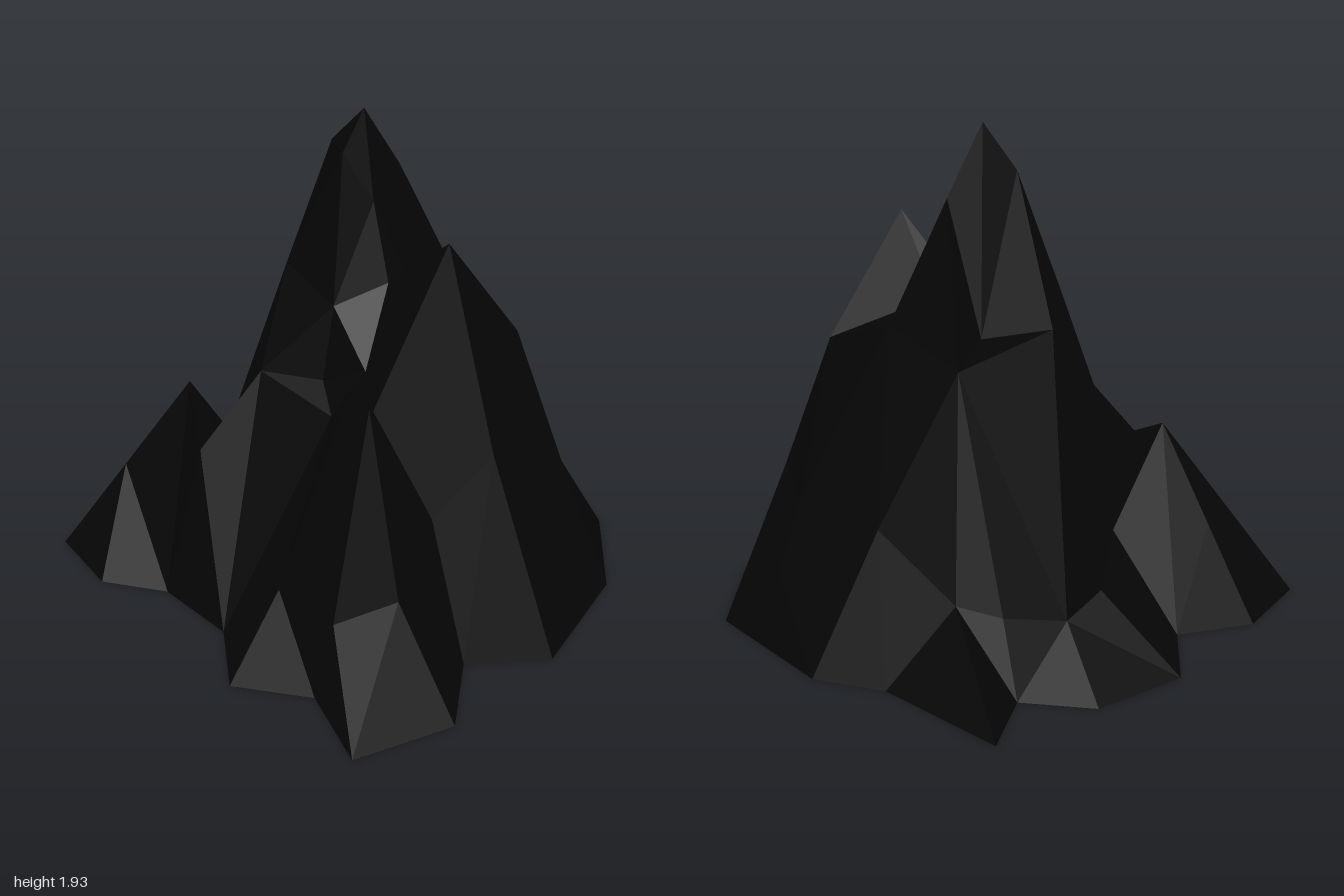
import * as THREE from 'three';

// Foot of the mountain: ground outline as [x, z]
const rim = [
  [-0.86, -0.92], [-0.5, -0.97], [-0.23, -0.8], [0.03, -1], [0.4, -0.91],
  [0.56, -0.67], [0.82, -0.8], [0.82, -0.27], [0.94, -0.01], [0.87, 0.58],
  [0.54, 0.87], [0.03, 1], [-0.23, 0.78], [-0.5, 0.98], [-0.88, 0.84],
  [-0.76, 0.52], [-0.94, 0.25], [-0.76, 0], [-0.76, -0.35], [-0.91, -0.59],
];

// Each crag: its ridge and shoulder points as [x, y, z], summit first
const crags = {
  mainPeak: [
    [0.05, 1.93, -0.04], [-0.05, 1.78, -0.05], [0.04, 1.77, -0.2], [0.22, 1.67, -0.02],
    [0.03, 1.59, 0.03], [-0.15, 1.21, 0], [0.2, 1.16, -0.17], [0.03, 1.2, -0.37],
    [0.41, 1.1, -0.25], [0.4, 1.2, 0.11], [-0.13, 1.29, -0.28], [-0.22, 0.92, 0.01],
    [-0.34, 0.92, -0.21], [0.66, 0.52, -0.08], [0.61, 0.31, -0.42], [0.48, 0.25, -0.53],
    [0.25, 0.19, -0.64], [0.05, 0.24, -0.64],
  ],
  frontPeak: [
    [0.04, 1.54, 0.4], [0.12, 1.25, 0.14], [0.02, 1.29, 0.12], [0.38, 1.08, 0.46],
    [0.03, 0.77, 0.66], [0.46, 0.53, 0.66], [0.66, 0.52, 0.35], [0.79, 0.26, 0.33],
    [-0.18, 1.02, 0.2], [-0.2, 0.55, 0.57],
  ],
  leftPeak: [
    [-0.43, 1.13, 0.38], [-0.44, 1.09, 0.48], [-0.3, 0.97, 0.36], [-0.3, 0.85, 0.14],
    [-0.4, 0.6, 0.62], [-0.51, 0.41, 0.7], [-0.68, 0.31, 0.54], [-0.7, 0.33, 0.27],
  ],
  backPeak: [
    [-0.42, 0.76, -0.56], [-0.58, 0.62, -0.31], [-0.39, 0.53, -0.4],
    [-0.2, 0.36, -0.5], [-0.64, 0.38, -0.74], [-0.46, 0.38, -0.765],
  ],
};

// Is a ground position within the outline?
function insideRim(x, z) {
  let inside = false;
  rim.forEach(([ax, az], i) => {
    const [bx, bz] = rim[(i + 1) % rim.length];
    if ((az > z) !== (bz > z) && x < ax + ((z - az) / (bz - az)) * (bx - ax)) inside = !inside;
  });
  return inside;
}

// Centre and squared radius of the circle through three points, seen from above
function circle(a, b, c) {
  const bx = b.x - a.x, bz = b.z - a.z, cx = c.x - a.x, cz = c.z - a.z;
  const d = 2 * (bx * cz - bz * cx);
  if (Math.abs(d) < 1e-7) return null;
  const b2 = bx * bx + bz * bz, c2 = cx * cx + cz * cz;
  const ux = (cz * b2 - bz * c2) / d, uz = (bx * c2 - cx * b2) / d;
  return { x: a.x + ux, z: a.z + uz, r2: ux * ux + uz * uz, turn: d };
}

// Join the points into facets: keep every triangle whose circle holds no other point
function facets(points) {
  const result = [];
  const n = points.length;
  for (let i = 0; i < n; i++) for (let j = i + 1; j < n; j++) for (let k = j + 1; k < n; k++) {
    const [a, b, c] = [points[i], points[j], points[k]];
    if (!insideRim((a.x + b.x + c.x) / 3, (a.z + b.z + c.z) / 3)) continue;
    const o = circle(a, b, c);
    if (!o) continue;
    const empty = points.every((p, m) => m === i || m === j || m === k
      || (p.x - o.x) ** 2 + (p.z - o.z) ** 2 > o.r2 - 1e-9);
    if (empty) result.push(o.turn < 0 ? [a, b, c] : [a, c, b]);
  }
  return result;
}

export function createModel() {
  const group = new THREE.Group();
  group.name = 'mountain';
  const rock = new THREE.MeshStandardMaterial({ color: 0x050505, flatShading: true, side: THREE.DoubleSide });
  rock.name = 'black rock';

  const points = rim.map(([x, z]) => new THREE.Vector3(x, 0, z));
  const owner = new Map();
  for (const [name, list] of Object.entries(crags)) {
    for (const p of list) {
      const v = new THREE.Vector3(...p);
      points.push(v);
      owner.set(v, name);
    }
  }

  // Give each facet to the crag of its highest corner
  const parts = {};
  for (const tri of facets(points)) {
    const top = tri.reduce((m, v) => (v.y > m.y ? v : m));
    const name = owner.get(top) ?? 'foothills';
    (parts[name] ??= []).push(...tri);
  }
  for (const [name, corners] of Object.entries(parts)) {
    const geometry = new THREE.BufferGeometry().setFromPoints(corners);
    geometry.computeVertexNormals();
    const mesh = new THREE.Mesh(geometry, rock);
    mesh.name = name;
    group.add(mesh);
  }
  return group;
}
